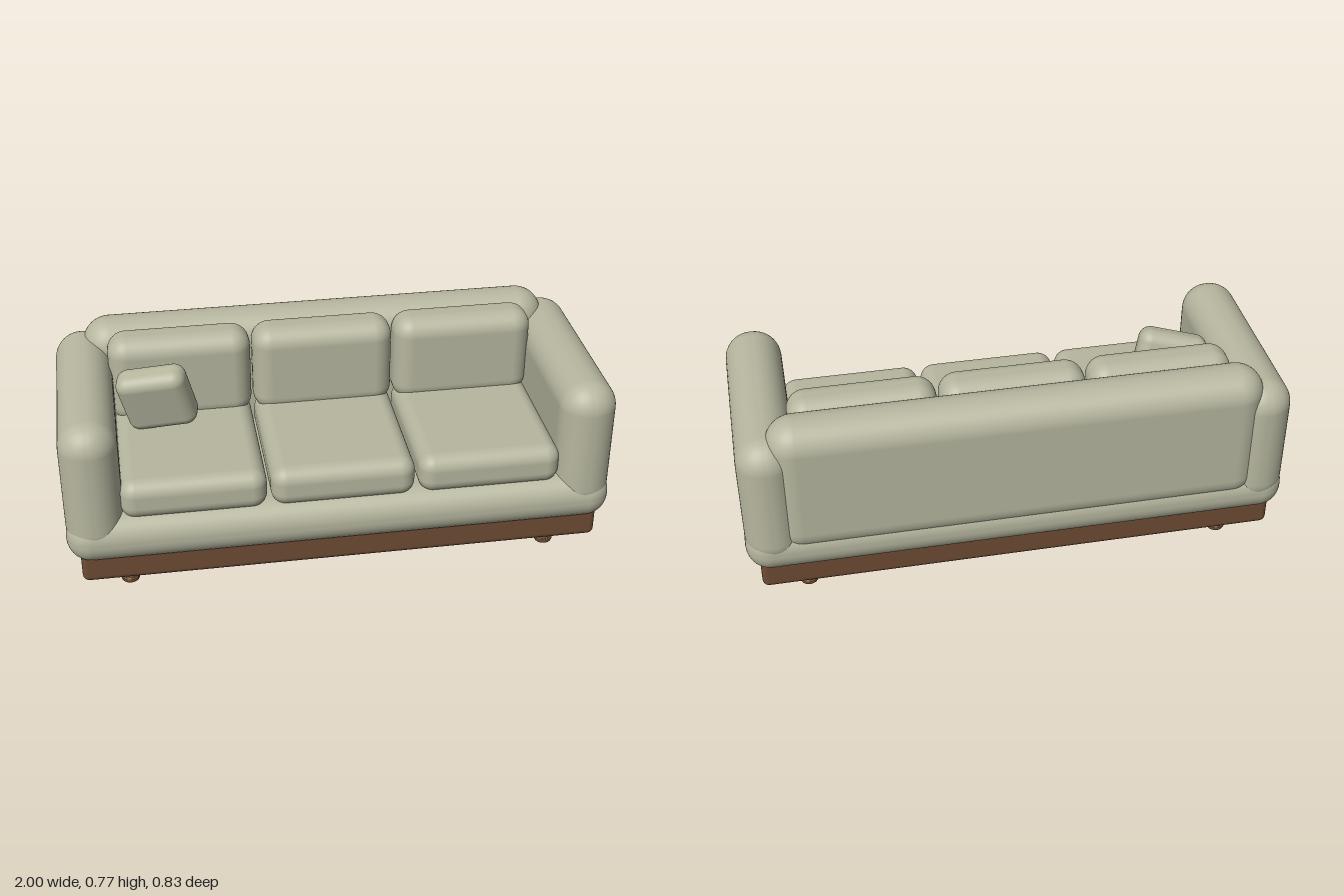
import * as THREE from 'three';
import { RoundedBoxGeometry } from 'three/addons/geometries/RoundedBoxGeometry.js';

const fabric = new THREE.MeshStandardMaterial({ color: 0xb6b69f });
const wood = new THREE.MeshStandardMaterial({ color: 0x6d4b34 });
const trim = new THREE.MeshStandardMaterial({ color: 0xa98354 });

// Rounded block given by its extents on each axis
function block(name, [x0, x1], [y0, y1], [z0, z1], radius, material = fabric) {
  const geometry = new RoundedBoxGeometry(x1 - x0, y1 - y0, z1 - z0, 6, radius);
  const mesh = new THREE.Mesh(geometry, material);
  mesh.position.set((x0 + x1) / 2, (y0 + y1) / 2, (z0 + z1) / 2);
  mesh.name = name;
  return mesh;
}

// Short round foot with a softened bottom edge and a thin ring
function makeLeg(name, x, z) {
  const leg = new THREE.Group();
  leg.name = name;
  const profile = [
    [0, 0], [0.026, 0], [0.031, 0.003], [0.034, 0.009], [0.034, 0.075], [0, 0.075],
  ].map(([r, y]) => new THREE.Vector2(r, y));
  const post = new THREE.Mesh(new THREE.LatheGeometry(profile, 32), wood);
  post.name = 'legPost';
  const ring = new THREE.Mesh(new THREE.TorusGeometry(0.032, 0.0035, 8, 32), trim);
  ring.name = 'legRing';
  ring.rotation.x = Math.PI / 2;
  ring.position.y = 0.021;
  leg.add(post, ring);
  leg.position.set(x, 0, z);
  return leg;
}

export function createModel() {
  const sofa = new THREE.Group();
  sofa.name = 'sofa';

  // Wooden plinth and the padded base above it
  sofa.add(block('plinth', [-0.955, 0.955], [0.065, 0.19], [-0.37, 0.378], 0.025, wood));
  sofa.add(block('paddedBase', [-1, 1], [0.15, 0.34], [-0.413, 0.418], 0.09));

  // Backrest
  sofa.add(block('backrest', [-0.89, 0.89], [0.23, 0.771], [-0.417, -0.215], 0.1));

  // Arms and legs, mirrored
  for (const [side, s] of [['left', 1], ['right', -1]]) {
    const xs = [0.79 * s, 0.998 * s].sort((a, b) => a - b);
    sofa.add(block(side + 'Arm', xs, [0.19, 0.71], [-0.417, 0.415], 0.1));
    sofa.add(makeLeg(side + 'FrontLeg', 0.785 * s, 0.287));
    sofa.add(makeLeg(side + 'BackLeg', 0.785 * s, -0.28));
  }

  // Three seat cushions with matching back cushions
  for (let i = -1; i <= 1; i++) {
    const x = i * 0.538;
    sofa.add(block('seatCushion', [x - 0.262, x + 0.262], [0.315, 0.467], [-0.23, 0.385], 0.055));
    sofa.add(block('backCushion', [x - 0.265, x + 0.265], [0.42, 0.768], [-0.263, -0.096], 0.07));
  }

  // Loose throw pillow, tipped and turned
  const pillow = block('throwPillow', [-0.13, 0.13], [-0.125, 0.125], [-0.057, 0.057], 0.045);
  pillow.position.set(-0.635, 0.597, 0);
  pillow.rotation.set(0.25, -0.18, 0.24);
  sofa.add(pillow);

  return sofa;
}
